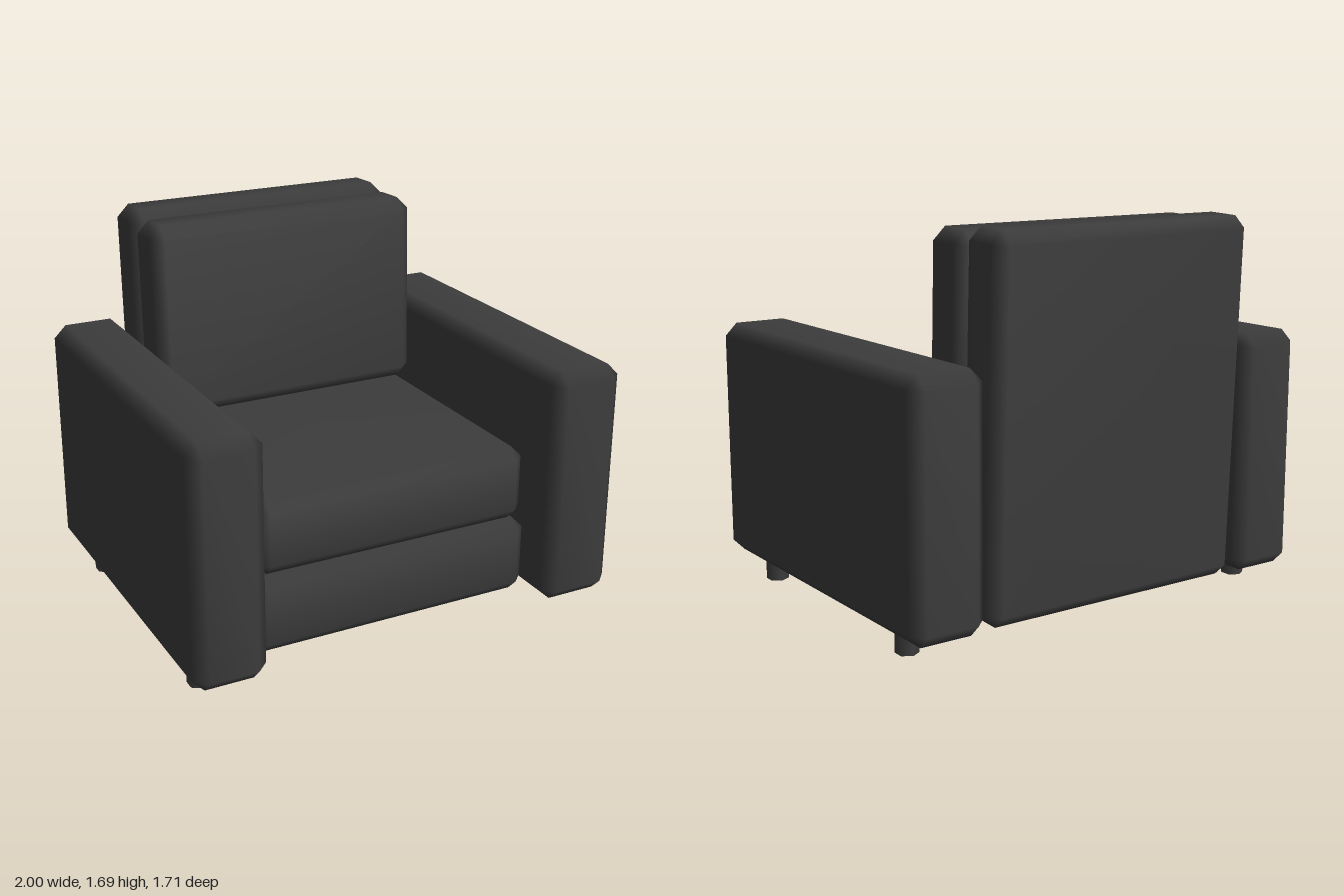
import * as THREE from 'three';
import { mergeVertices } from 'three/addons/utils/BufferGeometryUtils.js';
import { ConvexGeometry } from 'three/addons/geometries/ConvexGeometry.js';

const fabric = new THREE.MeshStandardMaterial({ color: 0x3c3c3c });

// Box with flat chamfers on every edge and corner, shaded smoothly
function chamferBox(w, h, d, c) {
  const half = [w / 2, h / 2, d / 2];
  const points = [];
  for (const sx of [-1, 1]) for (const sy of [-1, 1]) for (const sz of [-1, 1]) {
    for (let axis = 0; axis < 3; axis++) {
      const p = half.map((v, i) => (i === axis ? v : v - c));
      points.push(new THREE.Vector3(sx * p[0], sy * p[1], sz * p[2]));
    }
  }
  const hull = new ConvexGeometry(points);
  hull.deleteAttribute('normal');
  const geometry = mergeVertices(hull, 1e-4);
  geometry.computeVertexNormals();
  return geometry;
}

// Cushion block given by its extents along x, y and z
function block(name, [x0, x1], [y0, y1], [z0, z1], tilt = 0, chamfer = 0.055) {
  const mesh = new THREE.Mesh(chamferBox(x1 - x0, y1 - y0, z1 - z0, chamfer), fabric);
  mesh.name = name;
  mesh.position.set((x0 + x1) / 2, (y0 + y1) / 2, (z0 + z1) / 2);
  mesh.rotation.x = -tilt;
  return mesh;
}

export function createModel() {
  const chair = new THREE.Group();
  chair.name = 'armchair';
  const recline = THREE.MathUtils.degToRad(2.1);

  // Arms
  chair.add(block('rightArm', [-1, -0.675], [0.095, 1.165], [-0.81, 0.855]));
  chair.add(block('leftArm', [0.657, 1], [0.095, 1.165], [-0.81, 0.855]));

  // Seat base and cushion
  chair.add(block('seatBase', [-0.67, 0.657], [0.1, 0.45], [-0.58, 0.697]));
  chair.add(block('seatCushion', [-0.645, 0.64], [0.45, 0.79], [-0.58, 0.685]));

  // Reclined back panel and the loose cushion in front of it
  chair.add(block('backPanel', [-0.653, 0.645], [0.1, 1.687], [-0.827, -0.573], recline));
  chair.add(block('backCushion', [-0.653, 0.645], [0.79, 1.668], [-0.585, -0.331], recline));

  // Six-sided feet under the arms
  const footGeometry = new THREE.CylinderGeometry(0.05, 0.05, 0.12, 6);
  for (const [side, x] of [['right', -0.887], ['left', 0.882]]) {
    for (const [end, z] of [['Front', 0.59], ['Back', -0.55]]) {
      const foot = new THREE.Mesh(footGeometry, fabric);
      foot.name = side + end + 'Foot';
      foot.position.set(x, 0.06, z);
      chair.add(foot);
    }
  }
  return chair;
}
